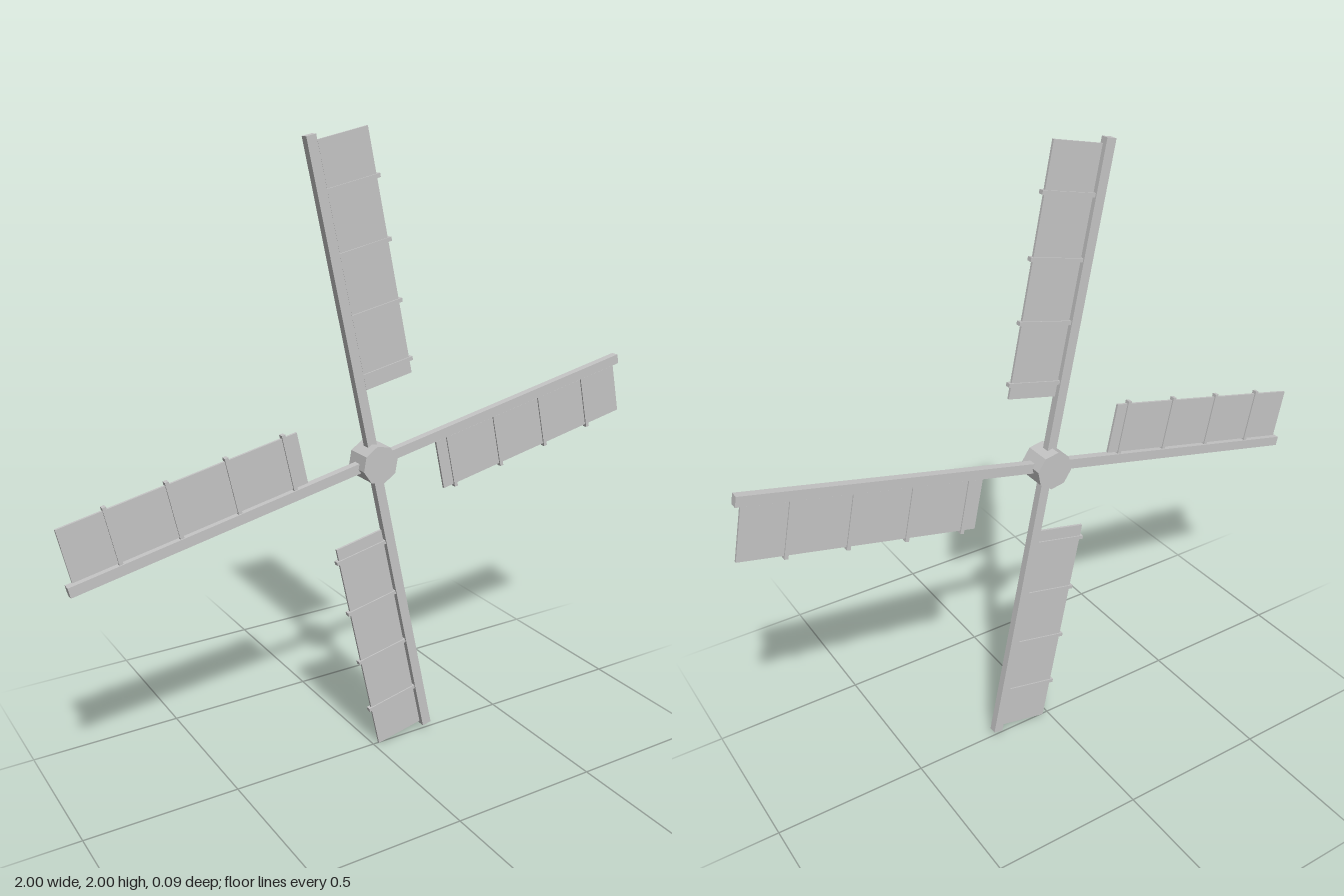
import * as THREE from 'three';

export function createModel() {
  const model = new THREE.Group();
  model.name = 'windmillSails';
  const grey = new THREE.MeshStandardMaterial({ color: 0xc5c5c5, flatShading: true });
  grey.name = 'lightGrey';

  const box = (parent, name, w, h, d, x, y) => {
    const mesh = new THREE.Mesh(new THREE.BoxGeometry(w, h, d), grey);
    mesh.name = name;
    mesh.position.set(x, y, 0);
    parent.add(mesh);
  };

  // Rotor, tilted about the hub axis
  const rotor = new THREE.Group();
  rotor.name = 'rotor';
  rotor.position.y = 1;
  rotor.rotation.z = THREE.MathUtils.degToRad(12);
  model.add(rotor);

  // Octagonal hub with its axis along z
  const hub = new THREE.Mesh(new THREE.CylinderGeometry(0.062, 0.062, 0.09, 8), grey);
  hub.name = 'hub';
  hub.rotation.x = Math.PI / 2;
  rotor.add(hub);

  // Four sails: spar, offset panel and crossbars
  for (let i = 0; i < 4; i++) {
    const sail = new THREE.Group();
    sail.name = 'sail' + (i + 1);
    sail.rotation.z = (i * Math.PI) / 2;
    box(sail, 'spar', 0.032, 0.98, 0.026, 0.001, 0.51);
    box(sail, 'panel', 0.166, 0.75, 0.008, 0.105, 0.607);
    for (let j = 0; j < 4; j++) {
      box(sail, 'crossbar', 0.198, 0.012, 0.017, 0.099, 0.277 + j * 0.1875);
    }
    rotor.add(sail);
  }
  return model;
}
